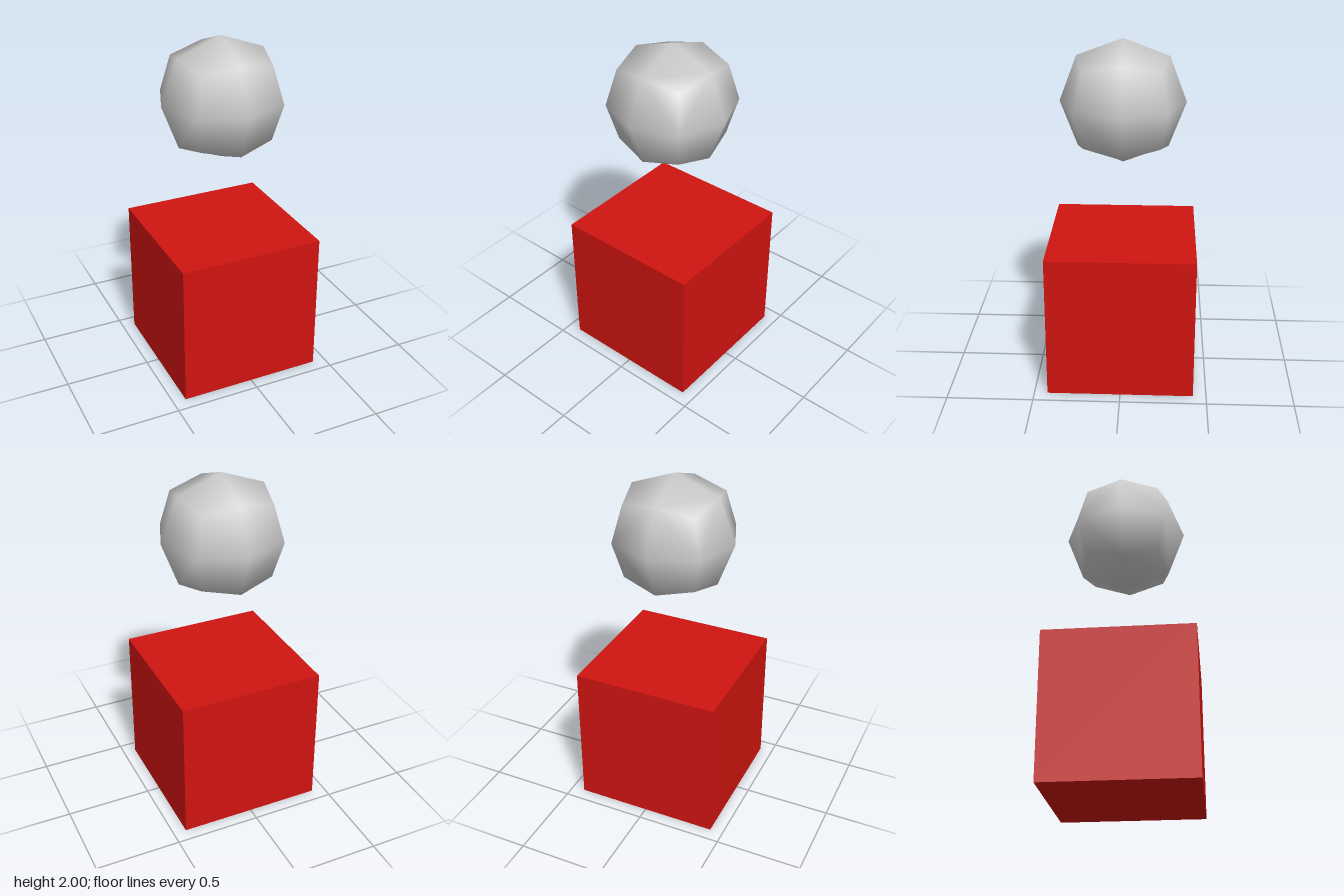
import * as THREE from 'three';
import { mergeVertices } from 'three/addons/utils/BufferGeometryUtils.js';

const HALF = 0.4237; // half the side of the cube

// Cube rounded into a 26-point ball: face centres, edge middles and corners
// each move to their own fraction of the cube's half side.
function roundedCube(half) {
  const geo = new THREE.BoxGeometry(2, 2, 2, 2, 2, 2);
  const pos = geo.attributes.position;
  const scaleFor = { 1: 0.8396, 2: 0.6096, 3: 0.5 };
  for (let i = 0; i < pos.count; i++) {
    const p = new THREE.Vector3().fromBufferAttribute(pos, i).round();
    const kind = Math.abs(p.x) + Math.abs(p.y) + Math.abs(p.z);
    p.multiplyScalar(scaleFor[kind] * half);
    pos.setXYZ(i, p.x, p.y, p.z);
  }
  // Each side is a central diamond plus four corner triangles
  const tris = [4, 1, 3, 4, 3, 7, 4, 7, 5, 4, 5, 1, 0, 3, 1, 6, 7, 3, 8, 5, 7, 2, 1, 5];
  const index = [];
  for (let side = 0; side < 6; side++) index.push(...tris.map((t) => t + side * 9));
  geo.setIndex(index);
  geo.clearGroups();
  geo.deleteAttribute('normal');
  geo.deleteAttribute('uv');
  const smooth = mergeVertices(geo, 1e-4);
  smooth.computeVertexNormals();
  return smooth;
}

export function createModel() {
  const model = new THREE.Group();
  model.name = 'cubeAndBall';

  // Red cube on the ground
  const cube = new THREE.Mesh(
    new THREE.BoxGeometry(2 * HALF, 2 * HALF, 2 * HALF),
    new THREE.MeshStandardMaterial({ color: 0xd01410 })
  );
  cube.name = 'cube';
  cube.position.y = HALF;

  // Grey ball floating above it
  const ball = new THREE.Mesh(
    roundedCube(HALF),
    new THREE.MeshStandardMaterial({ color: 0xcccccc })
  );
  ball.name = 'ball';
  ball.position.y = 2 - 0.8396 * HALF;

  model.add(cube, ball);
  return model;
}
